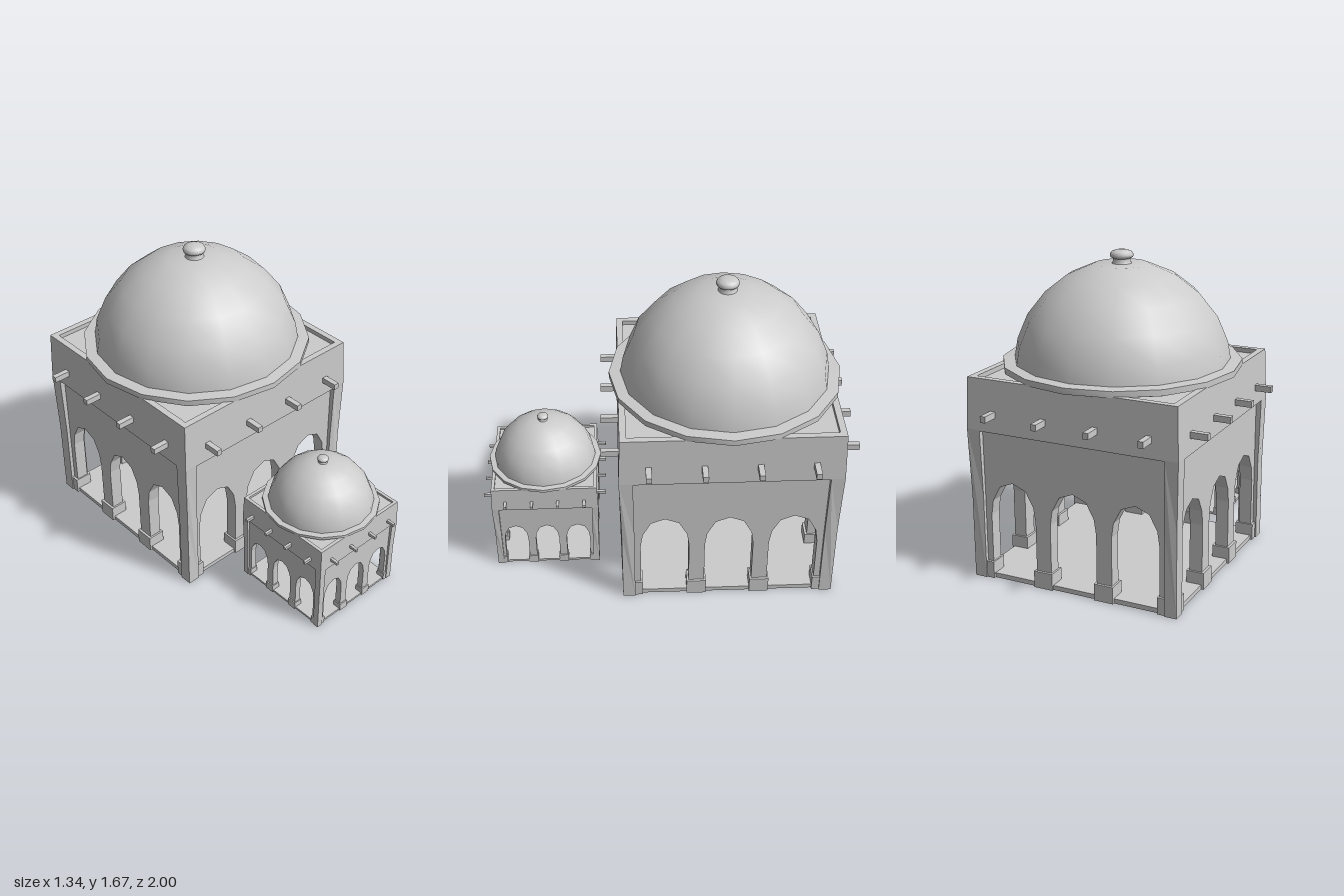
import * as THREE from 'three';
import { toCreasedNormals } from 'three/addons/utils/BufferGeometryUtils.js';

const material = new THREE.MeshStandardMaterial({ color: 0xcccccc });
const HALF = 0.575;   // half the side of the square building
const BAYS = [-0.345, 0, 0.345];

function addMesh(parent, name, geometry, x = 0, y = 0, z = 0) {
  const mesh = new THREE.Mesh(geometry, material);
  mesh.name = name;
  mesh.position.set(x, y, z);
  parent.add(mesh);
  return mesh;
}

function polygon(points, Type = THREE.Shape) {
  return new Type(points.map(([x, y]) => new THREE.Vector2(x, y)));
}

// Slab of a shape lying between two z depths
function slab(shape, back, front) {
  const geometry = new THREE.ExtrudeGeometry(shape, { depth: front - back, bevelEnabled: false });
  return geometry.translate(0, 0, back);
}

// Walls swell slightly around the top of the arcade panel
function swell(geometry) {
  const p = geometry.attributes.position;
  for (let i = 0; i < p.count; i++) {
    const y = p.getY(i);
    const bulge = y < 0.45 ? 0 : y < 0.81 ? (y - 0.45) / 0.36 : Math.max(0, (1.08 - y) / 0.27);
    const s = 1 + 0.016 * bulge;
    p.setX(i, p.getX(i) * s);
    p.setZ(i, p.getZ(i) * s);
  }
  geometry.computeVertexNormals();
  return geometry;
}

function lathe(profile, segments, crease) {
  const points = profile.map(([r, y]) => new THREE.Vector2(r, y));
  return toCreasedNormals(new THREE.LatheGeometry(points, segments), crease);
}

// One of the four identical sides, facing +z
function createSide() {
  const side = new THREE.Group();
  side.name = 'side';

  // Raised surround that rises into the parapet
  const frame = polygon([
    [-HALF, 0], [-0.508, 0], [-0.508, 0.45], [-0.503, 0.805], [0.503, 0.805], [0.508, 0.45], [0.508, 0],
    [HALF, 0], [HALF, 0.45], [HALF, 0.81], [HALF, 1.08], [-HALF, 1.08], [-HALF, 0.81], [-HALF, 0.45],
  ]);
  addMesh(side, 'wallFrame', swell(slab(frame, 0.54, HALF)));

  // Recessed panel pierced by three arches
  const panel = polygon([[-0.54, 0], [0.54, 0], [0.54, 0.84], [-0.54, 0.84]]);
  for (const x of BAYS) {
    const half = [[0.13, 0.025], [0.13, 0.35], [0.118, 0.43], [0.075, 0.51]];
    const outline = [...half, [0, 0.54], ...half.map(([a, b]) => [-a, b]).reverse()];
    panel.holes.push(polygon(outline.map(([a, b]) => [a + x, b]), THREE.Path));
  }
  addMesh(side, 'arcadePanel', slab(panel, 0.485, 0.555));

  // Plinths at the feet of the piers
  for (const x of [-0.1725, 0.1725]) {
    addMesh(side, 'pierPlinth', new THREE.BoxGeometry(0.105, 0.09, 0.096), x, 0.045, 0.52);
  }
  for (const s of [-1, 1]) {
    addMesh(side, 'cornerPlinth', new THREE.BoxGeometry(0.096, 0.09, 0.096), s * 0.515, 0.045, 0.52);
  }

  // Projecting beam ends
  for (const x of [-0.43, -0.143, 0.143, 0.43]) {
    addMesh(side, 'beamEnd', new THREE.BoxGeometry(0.03, 0.033, 0.14), x, 0.902, 0.602);
  }
  return side;
}

function createBuilding(name) {
  const building = new THREE.Group();
  building.name = name;

  for (let i = 0; i < 4; i++) {
    const side = createSide();
    side.rotation.y = i * Math.PI / 2;
    building.add(side);
  }
  addMesh(building, 'floor', new THREE.BoxGeometry(1.1, 0.021, 1.1), 0, 0.0145, 0);
  addMesh(building, 'roof', new THREE.BoxGeometry(1.09, 0.03, 1.09), 0, 1.04, 0);

  // Brim and dome are sixteen-sided
  addMesh(building, 'domeBrim', lathe([
    [0.45, 1.03], [0.575, 1.06], [0.622, 1.075], [0.622, 1.107], [0.55, 1.112],
  ], 16, 0.6));
  addMesh(building, 'dome', lathe([
    [0.562, 1.105], [0.545, 1.2], [0.49, 1.33], [0.395, 1.45], [0.28, 1.54], [0.14, 1.6], [0, 1.603],
  ], 16, 0.7));
  addMesh(building, 'finial', lathe([
    [0.055, 1.595], [0.045, 1.612], [0.045, 1.627], [0.058, 1.634], [0.061, 1.647],
    [0.052, 1.661], [0.03, 1.669], [0, 1.672],
  ], 20, 0.9));
  return building;
}

export function createModel() {
  const model = new THREE.Group();
  model.name = 'domedPavilions';

  const large = createBuilding('largePavilion');
  large.position.z = -0.328;
  const small = createBuilding('smallPavilion');
  small.scale.setScalar(0.5);
  small.position.z = 0.664;

  model.add(large, small);
  return model;
}
